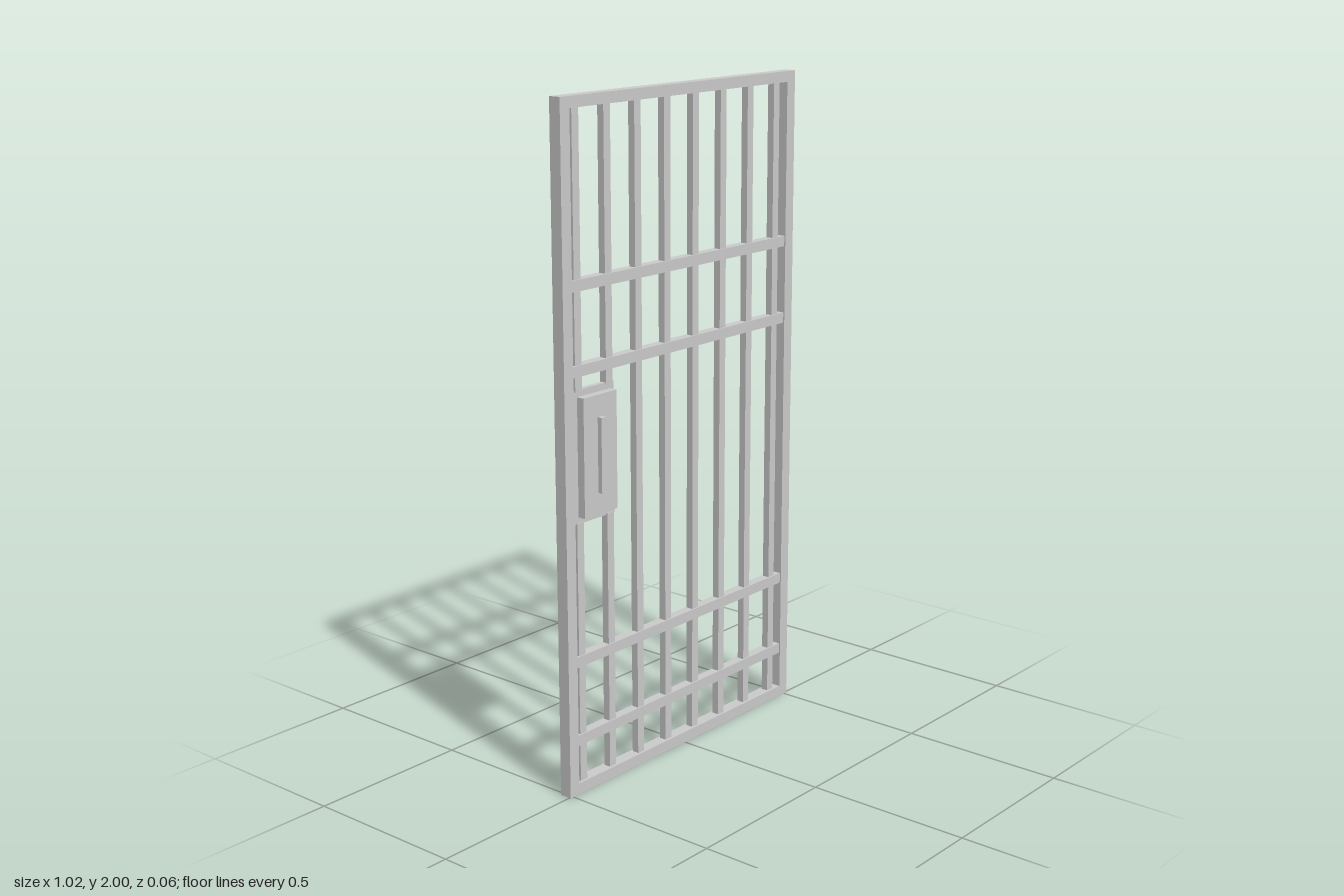
import * as THREE from 'three';

const mat = new THREE.MeshStandardMaterial({ color: 0xcccccc });

// Box given by its limits on each axis
function box(parent, name, [x0, x1], [y0, y1], [z0, z1]) {
  const m = new THREE.Mesh(new THREE.BoxGeometry(x1 - x0, y1 - y0, z1 - z0), mat);
  m.position.set((x0 + x1) / 2, (y0 + y1) / 2, (z0 + z1) / 2);
  m.name = name;
  parent.add(m);
}

function rect(PathType, x0, x1, y0, y1) {
  return new PathType([[x0, y0], [x1, y0], [x1, y1], [x0, y1]].map(p => new THREE.Vector2(...p)));
}

// Rectangular plate with a rectangular opening
function rim(parent, name, o, i, [z0, z1]) {
  const shape = rect(THREE.Shape, ...o);
  shape.holes.push(rect(THREE.Path, ...i));
  const geo = new THREE.ExtrudeGeometry(shape, { depth: z1 - z0, bevelEnabled: false });
  const m = new THREE.Mesh(geo, mat);
  m.position.z = z0;
  m.name = name;
  parent.add(m);
}

export function createModel() {
  const door = new THREE.Group();
  door.name = 'barredDoor';

  // Outer frame
  rim(door, 'frame', [-0.512, 0.512, 0, 2], [-0.475, 0.475, 0.034, 1.968], [-0.033, 0.005]);

  // Horizontal rails
  for (const y of [0.164, 0.403, 1.25, 1.488])
    box(door, 'rail', [-0.475, 0.475], [y - 0.016, y + 0.016], [-0.029, 0.001]);

  // Vertical bars; the two on the lock side stop at the lock plate
  for (let i = 0; i < 8; i++) {
    const x = -0.446 + i * 0.1257;
    const spans = i < 2 ? [[0.034, 0.815], [1.19, 1.968]] : [[0.034, 1.968]];
    for (const s of spans) box(door, 'bar', [x - 0.0135, x + 0.0135], s, [-0.025, -0.003]);
  }

  // Lock: surrounding plate, inner panel and handle through both faces
  const lock = new THREE.Group();
  lock.name = 'lock';
  door.add(lock);
  rim(lock, 'lockPlate', [-0.476, -0.3, 0.81, 1.196], [-0.45, -0.314, 0.83, 1.176], [-0.022, -0.006]);
  box(lock, 'lockPanel', [-0.45, -0.314], [0.83, 1.176], [-0.008, 0.018]);
  box(lock, 'lockHandle', [-0.393, -0.373], [0.893, 1.112], [-0.021, 0.032]);

  return door;
}
